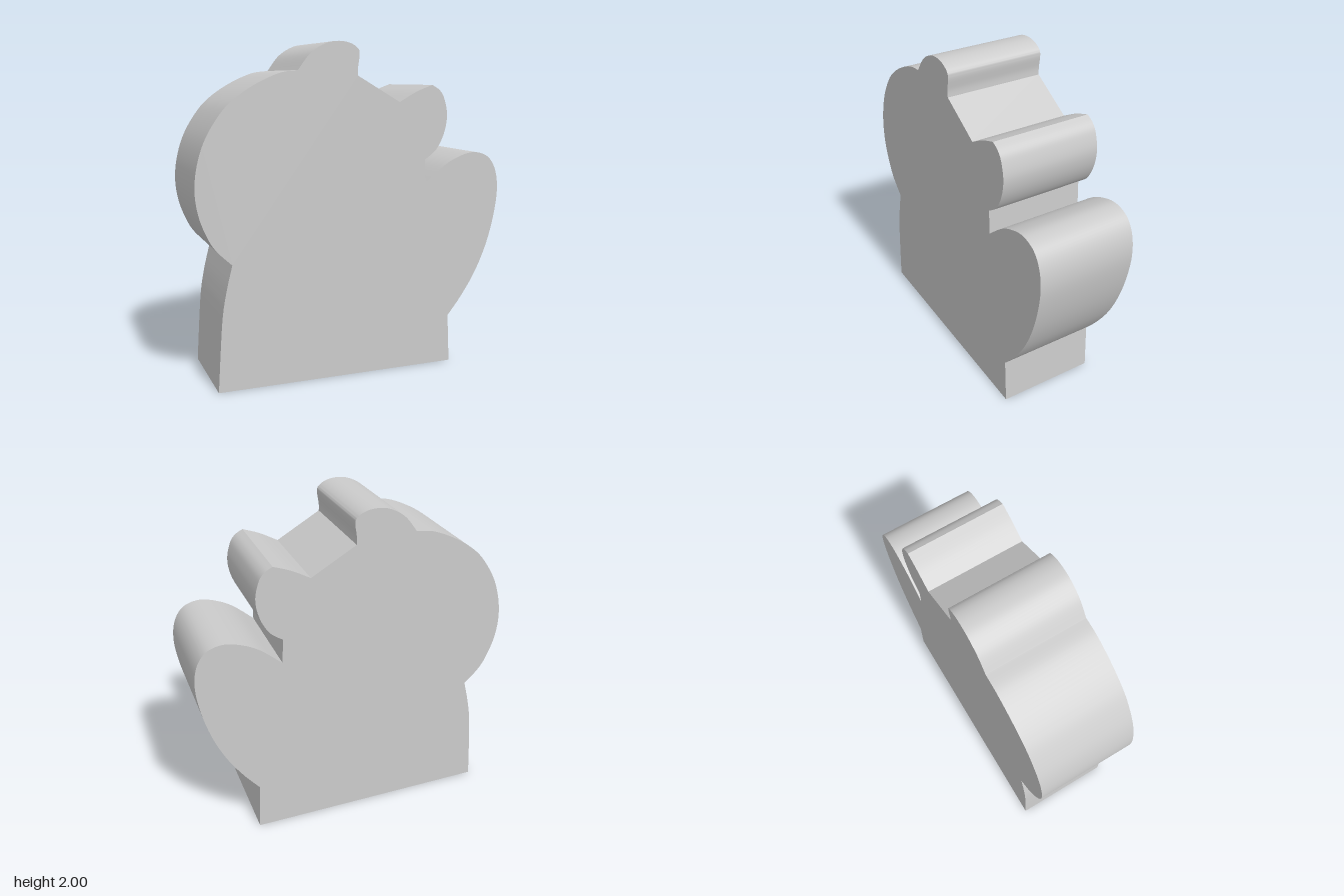
import * as THREE from 'three';
import { toCreasedNormals } from 'three/addons/utils/BufferGeometryUtils.js';

const DEPTH = 0.61;

// Each run is a smooth curve continuing from the last point; corners lie between runs.
const runs = [
  // base
  [[0.64, 0]],
  [[0.625, 0.3]],
  // tail
  [[0.72, 0.42], [0.815, 0.57], [0.89, 0.74], [0.94, 0.92], [0.962, 1.09], [0.943, 1.22],
    [0.885, 1.305], [0.79, 1.335], [0.69, 1.315], [0.58, 1.26], [0.45, 1.15]],
  [[0.443, 1.3]],
  // lower ear
  [[0.52, 1.36], [0.572, 1.46], [0.59, 1.57], [0.568, 1.67], [0.535, 1.72], [0.485, 1.75]],
  [[0.38, 1.71], [0.27, 1.65]],
  // brow
  [[0, 1.805]],
  // upper ear
  [[0, 1.85], [0.01, 1.925], [0, 1.96], [-0.05, 1.99], [-0.12, 2], [-0.2, 1.985],
    [-0.29, 1.93], [-0.365, 1.835]],
  // round back of the head
  [[-0.47, 1.82], [-0.6, 1.765], [-0.72, 1.69], [-0.81, 1.605], [-0.9, 1.465], [-0.95, 1.32],
    [-0.967, 1.18], [-0.952, 1.05], [-0.913, 0.935], [-0.86, 0.84], [-0.765, 0.745]],
  // side of the body
  [[-0.805, 0.58], [-0.832, 0.4], [-0.86, 0]],
];

function outline() {
  const shape = new THREE.Shape();
  shape.moveTo(-0.86, 0);
  for (const run of runs) {
    if (run.length === 1) shape.lineTo(...run[0]);
    else shape.splineThru(run.map(([x, y]) => new THREE.Vector2(x, y)));
  }
  return shape;
}

export function createModel() {
  const group = new THREE.Group();
  group.name = 'silhouetteBlock';

  const extruded = new THREE.ExtrudeGeometry(outline(), {
    depth: DEPTH, bevelEnabled: false, curveSegments: 5,
  });
  extruded.translate(0, 0, -DEPTH / 2);

  const body = new THREE.Mesh(
    toCreasedNormals(extruded, 0.42),
    new THREE.MeshStandardMaterial({ color: 0xcccccc }),
  );
  body.name = 'body';
  group.add(body);
  return group;
}
